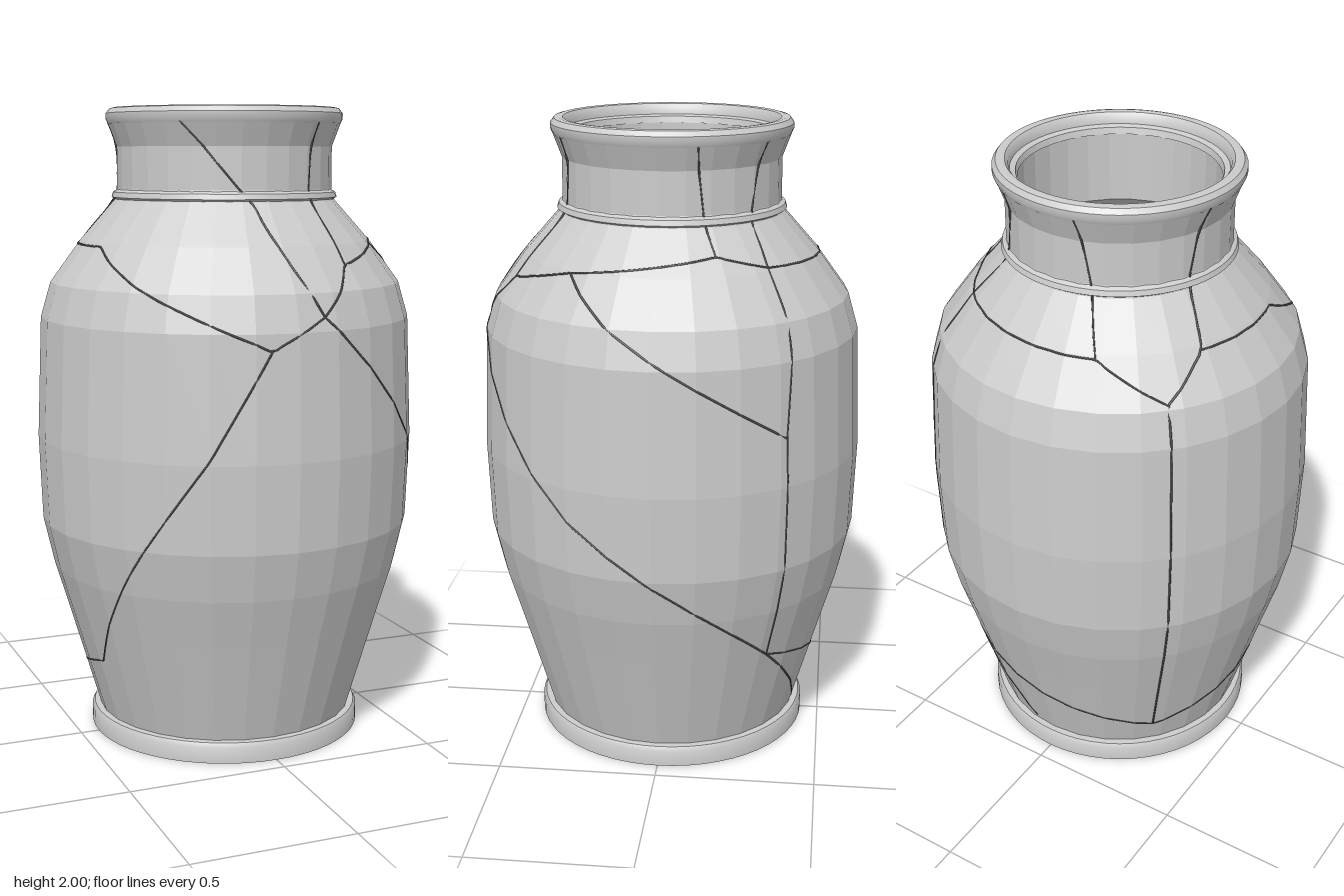
import * as THREE from 'three';
import { toCreasedNormals } from 'three/addons/utils/BufferGeometryUtils.js';

const SIDES = 28;
const clay = new THREE.MeshStandardMaterial({ color: 0xcccccc, flatShading: true });
const smoothClay = new THREE.MeshStandardMaterial({ color: 0xcccccc });
const crackDark = new THREE.MeshStandardMaterial({ color: 0x4a4a4a });

// Outer wall profiles as [radius, height], bottom to top
const BODY = [[0.41, 0.05], [0.51, 0.39], [0.558, 0.55], [0.592, 0.7], [0.602, 0.97],
  [0.587, 1.35], [0.555, 1.46], [0.46, 1.59], [0.35, 1.715]];
const NECK = [[0.35, 1.715], [0.34, 1.75], [0.34, 1.88], [0.368, 1.955]];
const WALL = [...BODY, ...NECK.slice(1)];

function turned(name, points, sides, smooth) {
  const geo = new THREE.LatheGeometry(points.map(([r, y]) => new THREE.Vector2(r, y)), sides);
  const mesh = new THREE.Mesh(smooth ? toCreasedNormals(geo, 0.6) : geo, smooth ? smoothClay : clay);
  mesh.name = name;
  return mesh;
}

// Point on the faceted wall at an angle (degrees from the front towards the left) and height
function wallPoint(degrees, y) {
  const a = THREE.MathUtils.degToRad(degrees);
  let i = 1;
  while (i < WALL.length - 1 && WALL[i][1] < y) i++;
  const [r0, y0] = WALL[i - 1], [r1, y1] = WALL[i];
  const step = (2 * Math.PI) / SIDES;
  const local = THREE.MathUtils.euclideanModulo(a, step) - step / 2;
  const r = THREE.MathUtils.mapLinear(y, y0, y1, r0, r1) * Math.cos(step / 2) / Math.cos(local) - 0.001;
  return new THREE.Vector3(r * Math.sin(a), y, r * Math.cos(a));
}

// Crack junctions as [angle, height]
const JUNCTIONS = {
  a: [-118, 1.58], b: [-75, 1.58], c: [-8, 1.3], d: [9, 1.39], e: [24, 1.53], f: [56, 1.585],
  g: [114, 1.64], h: [135, 1.6], i: [131, 1.12], j: [132, 0.38], k: [170, 0.08], l: [65, 0.86],
  m: [204, 1.58], n: [227, 1.47], o: [227, 0.15], p: [285, 0.28], q: [242, 1.58],
  r: [-8, 1.71], s: [-43, 1.955], t: [30, 1.955], u: [108, 1.955], v: [147, 1.955],
  w: [192, 1.955], x: [256, 1.955], y: [-26, 0.98], z: [-75, 0.28],
};
// Each word is one crack running through its junctions
const CRACKS = 'abcd cyz poj dljk drs def et fi fgh gu jihv hmn mw onqx'.split(' ');

function crack(route) {
  const path = [wallPoint(...JUNCTIONS[route[0]])];
  for (let i = 1; i < route.length; i++) {
    const [a0, y0] = JUNCTIONS[route[i - 1]], [a1, y1] = JUNCTIONS[route[i]];
    const n = Math.max(2, Math.ceil(Math.abs(a1 - a0) / 4), Math.ceil(Math.abs(y1 - y0) / 0.06));
    for (let k = 1; k <= n; k++) {
      path.push(wallPoint(THREE.MathUtils.lerp(a0, a1, k / n), THREE.MathUtils.lerp(y0, y1, k / n)));
    }
  }
  const curve = new THREE.CatmullRomCurve3(path);
  const mesh = new THREE.Mesh(new THREE.TubeGeometry(curve, path.length * 2, 0.0035, 5), crackDark);
  mesh.name = 'crack';
  return mesh;
}

export function createModel() {
  const vase = new THREE.Group();
  vase.name = 'crackedVase';

  // Round foot, closed underneath
  vase.add(turned('foot', [[0, 0], [0.441, 0], [0.441, 0.05], [0.433, 0.064], [0.4, 0.066]], SIDES * 2, true));

  // Faceted outer wall
  vase.add(turned('body', BODY, SIDES));
  vase.add(turned('neck', NECK, SIDES));

  // Raised band where neck and shoulder meet
  vase.add(turned('neckBand', [[0.335, 1.71], [0.357, 1.724], [0.352, 1.74], [0.335, 1.75]], SIDES * 2, true));

  // Rolled rim with an inner step
  vase.add(turned('rim', [[0.366, 1.95], [0.373, 1.965], [0.373, 1.982], [0.362, 1.997], [0.35, 2],
    [0.335, 1.998], [0.325, 1.985], [0.322, 1.965], [0.305, 1.96], [0.3, 1.94]], SIDES * 2, true));

  // Inner wall, from the mouth down to the floor
  const inside = BODY.slice(1, -1).reverse().map(([r, y]) => [r - 0.04, y]);
  vase.add(turned('innerWall', [[0.305, 1.95], [0.305, 1.72], ...inside, [0.38, 0.08], [0, 0.08]], SIDES));

  // Fine fractures over the outer surface
  const cracks = new THREE.Group();
  cracks.name = 'cracks';
  CRACKS.forEach((route) => cracks.add(crack(route)));
  vase.add(cracks);
  return vase;
}
